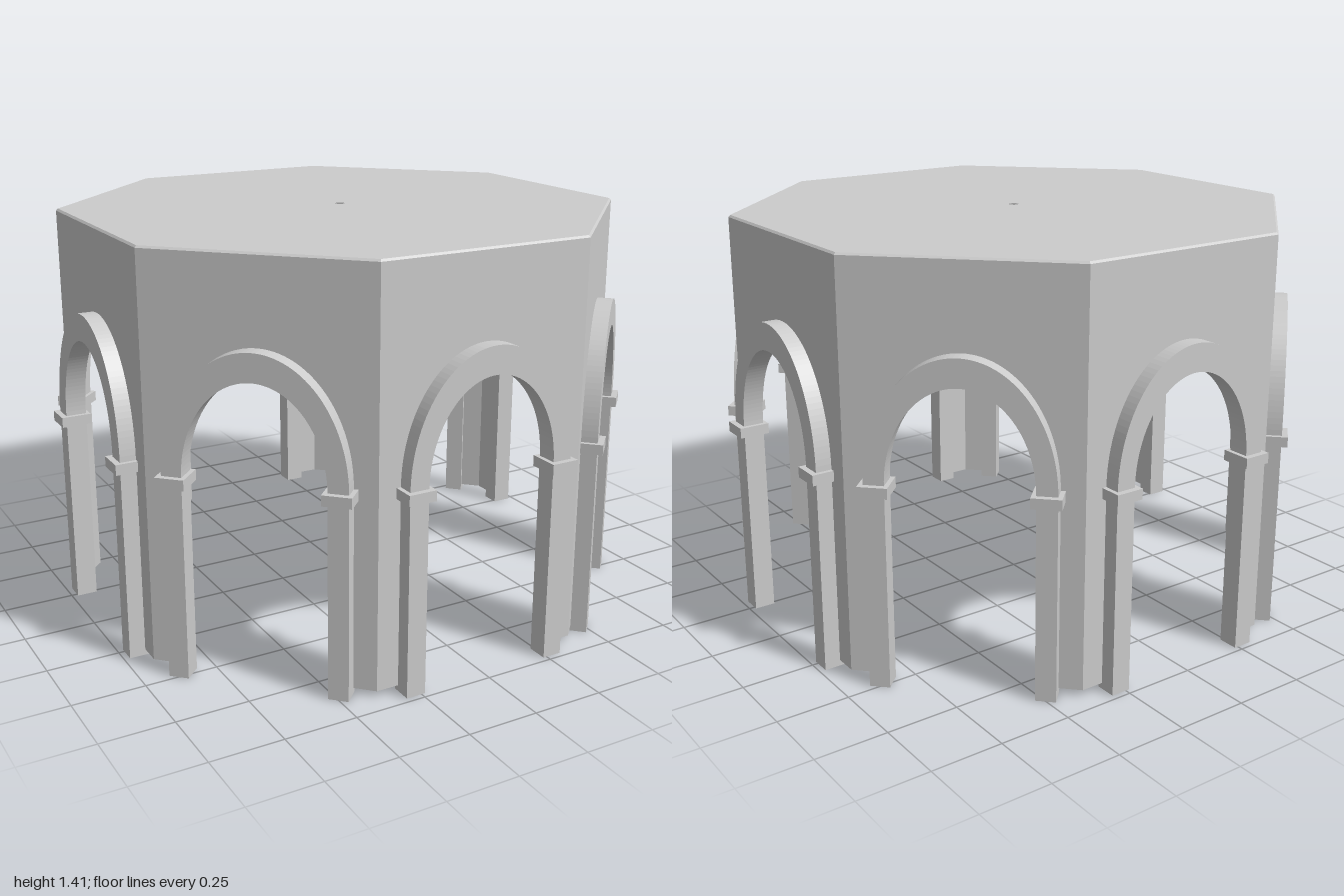
import * as THREE from 'three';

const SIDES = 8;
const APOTHEM = 0.925;                                  // centre to wall sheet
const HALF = APOTHEM * Math.tan(Math.PI / SIDES);       // half a wall's width
const RADIUS = APOTHEM / Math.cos(Math.PI / SIDES);
const TOP = 1.415, EDGE = 0.007, FOOT = 0.02;           // roof height, edge chamfer, wall bottom
const SPRING = 0.7, STRETCH = 1.385;                    // arch springing height, height / half width
const INNER = 0.237, OUTER = 0.305;                     // half widths of the arch band
const BACK = 0.908, FRONT = 0.98;                       // depth range of piers and arch band

const material = new THREE.MeshStandardMaterial({ color: 0xcccccc });
const sheet = new THREE.MeshStandardMaterial({ color: 0xcccccc, side: THREE.DoubleSide });
const flatSheet = new THREE.MeshStandardMaterial({ color: 0xcccccc, side: THREE.DoubleSide, flatShading: true });

function add(parent, name, geometry, mat = material) {
  const mesh = new THREE.Mesh(geometry, mat);
  mesh.name = name;
  parent.add(mesh);
  return mesh;
}

// Wall sheet with an arched doorway cut from below
function wallGeometry() {
  const r = (INNER + OUTER) / 2;
  const s = new THREE.Shape();
  s.moveTo(-HALF, FOOT);
  s.lineTo(-r, FOOT);
  s.lineTo(-r, SPRING);
  s.absellipse(0, SPRING, r, r * STRETCH, Math.PI, 0, true);
  s.lineTo(r, FOOT);
  s.lineTo(HALF, FOOT);
  s.lineTo(HALF, TOP - EDGE);
  s.lineTo(-HALF, TOP - EDGE);
  return new THREE.ShapeGeometry(s, 32).translate(0, 0, APOTHEM);
}

// Stretched half ring standing on the capitals
function archGeometry() {
  const s = new THREE.Shape();
  s.moveTo(OUTER, SPRING);
  s.absellipse(0, SPRING, OUTER, OUTER * STRETCH, 0, Math.PI, false);
  s.lineTo(-INNER, SPRING);
  s.absellipse(0, SPRING, INNER, INNER * STRETCH, Math.PI, 0, true);
  return new THREE.ExtrudeGeometry(s, { depth: FRONT - BACK, bevelEnabled: false, curveSegments: 32 })
    .translate(0, 0, BACK);
}

export function createModel() {
  const model = new THREE.Group();
  model.name = 'octagonalPavilion';

  const wall = wallGeometry();
  const arch = archGeometry();
  const pier = new THREE.BoxGeometry(OUTER - INNER, SPRING - 0.02, FRONT - BACK)
    .translate(0, (SPRING - 0.02) / 2, (FRONT + BACK) / 2);
  const capital = new THREE.BoxGeometry(0.098, 0.036, 0.105).translate(0, 0.683, 0.9475);

  // Eight identical bays around the centre
  for (let i = 0; i < SIDES; i++) {
    const bay = new THREE.Group();
    bay.name = `bay${i + 1}`;
    bay.rotation.y = (i / SIDES) * Math.PI * 2;
    add(bay, 'wall', wall, sheet);
    add(bay, 'archBand', arch);
    for (const side of [-1, 1]) {
      const x = side * (INNER + OUTER) / 2;
      add(bay, 'pier', pier).position.x = x;
      add(bay, 'capital', capital).position.x = x;
    }
    model.add(bay);
  }

  // Flat roof with a chamfered rim and a small central opening
  const profile = [
    new THREE.Vector2(RADIUS, TOP - EDGE),
    new THREE.Vector2(RADIUS - EDGE, TOP),
    new THREE.Vector2(0.018, TOP),
  ];
  add(model, 'roof', new THREE.LatheGeometry(profile, SIDES, Math.PI / SIDES), flatSheet);

  return model;
}
